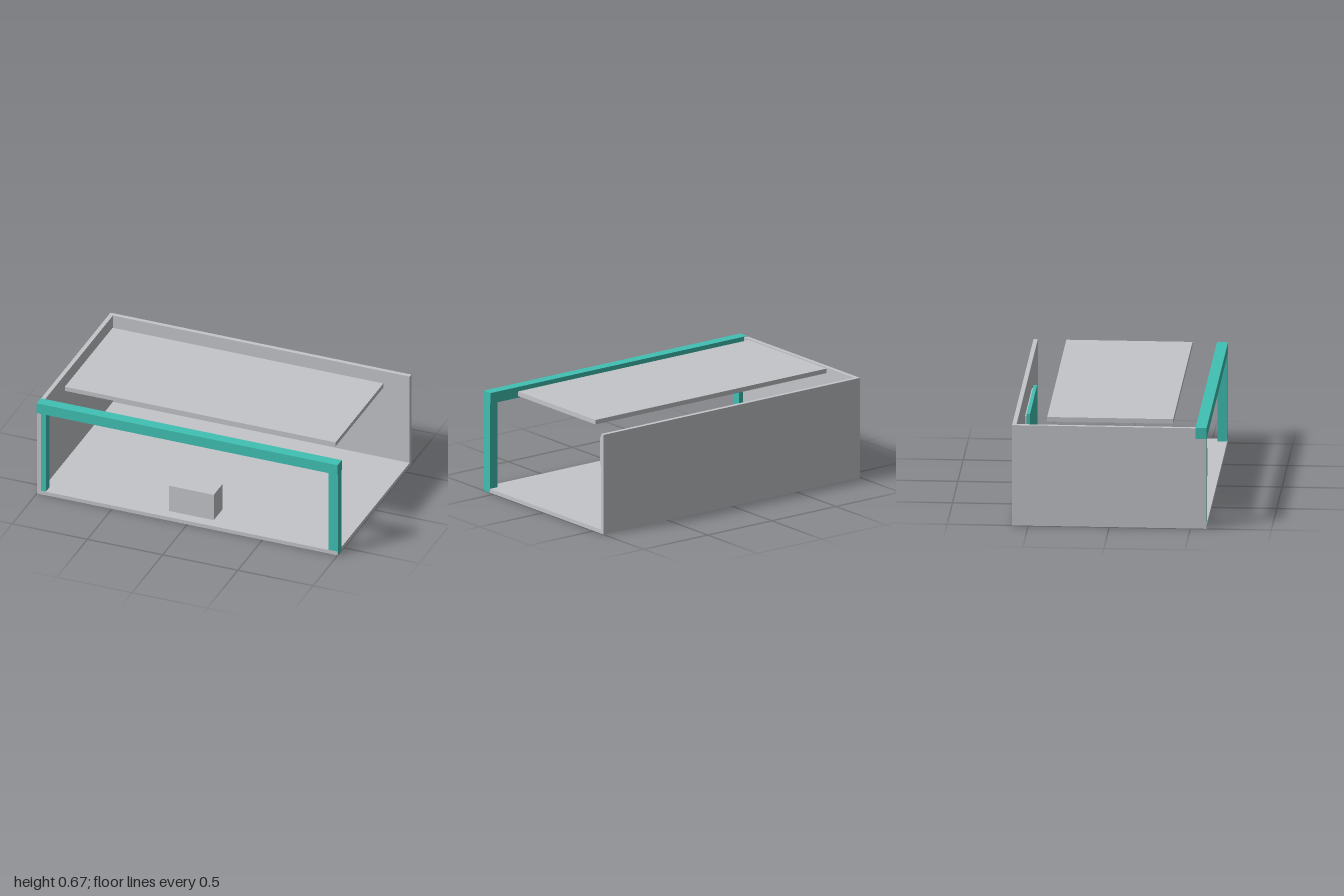
import * as THREE from 'three';

export function createModel() {
  const model = new THREE.Group();
  const grey = new THREE.MeshStandardMaterial({ color: 0xc4c5c9 });
  grey.name = 'light grey';
  const teal = new THREE.MeshStandardMaterial({ color: 0x40c1b3 });
  teal.name = 'teal';

  // Box spanning [min, max] on each axis
  function box(name, material, [x0, x1], [y0, y1], [z0, z1]) {
    const mesh = new THREE.Mesh(new THREE.BoxGeometry(x1 - x0, y1 - y0, z1 - z0), material);
    mesh.position.set((x0 + x1) / 2, (y0 + y1) / 2, (z0 + z1) / 2);
    mesh.name = name;
    model.add(mesh);
  }

  // Booth shell: floor, back wall and one side wall; the other side is open
  box('floor', grey, [-1, 1], [0, 0.025], [-0.6, 0.6]);
  box('backWall', grey, [-1, 1], [0.025, 0.64], [-0.6, -0.573]);
  box('sideWall', grey, [-1, -0.973], [0.025, 0.64], [-0.573, 0.599]);

  // Front portal, a hair proud of the shell where faces meet
  box('rightPost', teal, [-0.999, -0.94], [-0.0005, 0.573], [0.54, 0.598]);
  box('leftPost', teal, [0.94, 1.0005], [-0.0005, 0.573], [0.54, 0.598]);
  box('frontBeam', teal, [-1.0005, 1.0005], [0.573, 0.642], [0.532, 0.6005]);

  // Raised ceiling panel
  box('ceilingPanel', grey, [-0.9, 0.9], [0.639, 0.668], [-0.39, 0.388]);

  // Reception counter
  box('counter', grey, [-0.148, 0.148], [0.025, 0.205], [0.39, 0.53]);

  // Display on the back wall
  box('displayScreen', teal, [-0.34, 0.34], [0.212, 0.53], [-0.554, -0.533]);
  box('displayMount', grey, [-0.33, 0.33], [0.228, 0.514], [-0.564, -0.554]);

  return model;
}
